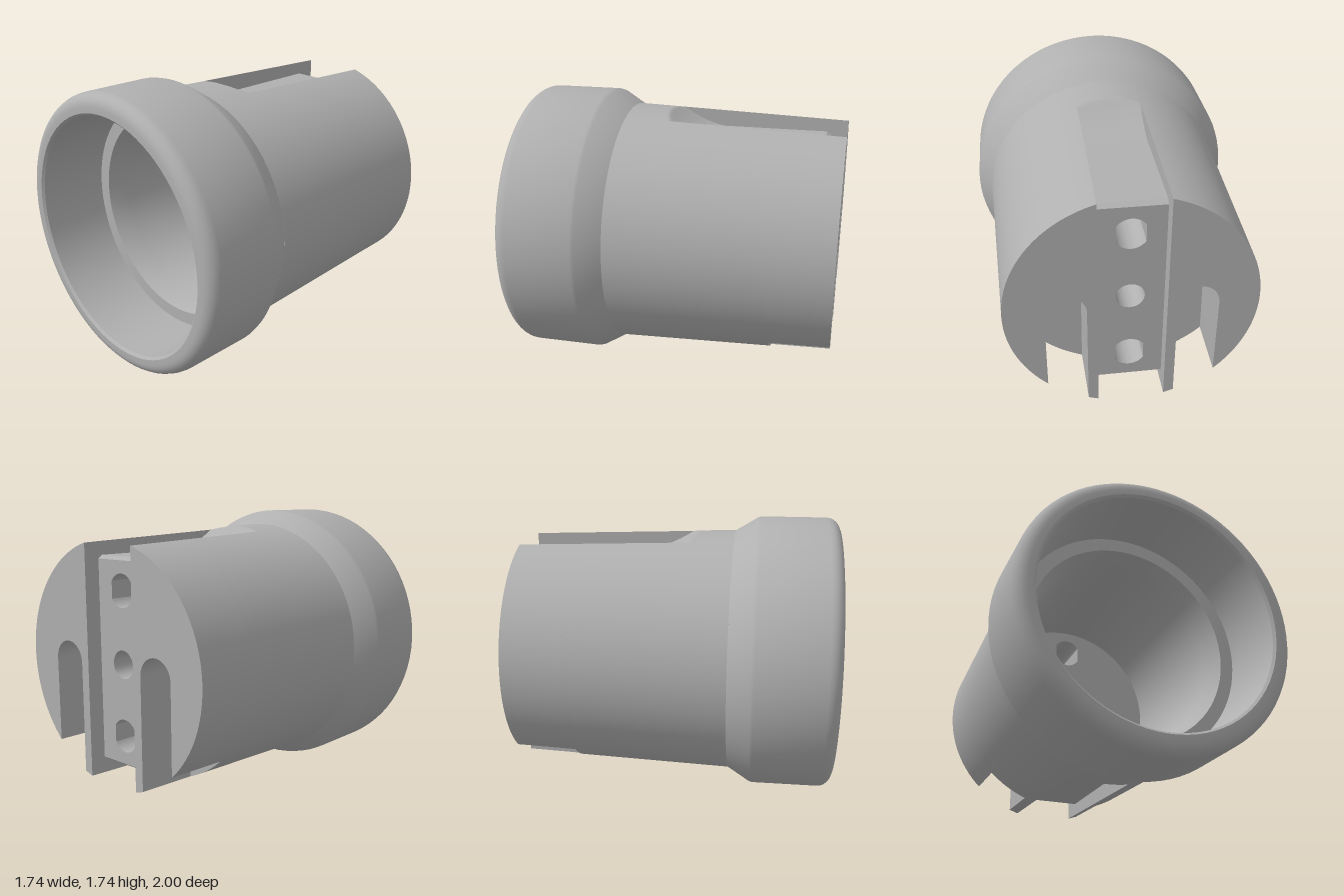
import * as THREE from 'three';
import { toCreasedNormals } from 'three/addons/utils/BufferGeometryUtils.js';
import { ParametricGeometry } from 'three/addons/geometries/ParametricGeometry.js';

const R = 0.735;           // body radius at the back end
const HALF = 0.2;          // half width of the cable channel
const BORE = 0.6, BORE_END = -0.55, SLOT_END = -0.62, NECK = 0.35;
const radiusAt = z => R + (z + 1) * 0.045 / 1.35;
const angleAt = x => Math.acos(x / R);

export function createModel() {
  const model = new THREE.Group();
  const body = new THREE.Group();
  body.name = 'socketBody';
  body.position.y = 0.87;
  model.add(body);
  const grey = new THREE.MeshStandardMaterial({ color: 0xb0b0b0, side: THREE.DoubleSide });
  grey.name = 'plainGrey';

  const add = (name, geometry, crease = 0.5) => {
    const mesh = new THREE.Mesh(toCreasedNormals(geometry, crease), grey);
    mesh.name = name;
    body.add(mesh);
    return mesh;
  };
  const extrude = (shape, z0, z1) => new THREE.ExtrudeGeometry(shape,
    { depth: z1 - z0, bevelEnabled: false, curveSegments: 40 }).translate(0, 0, z0);

  // Widen the outer wall of a side piece to follow the taper
  const taper = geometry => {
    const p = geometry.attributes.position;
    for (let i = 0; i < p.count; i++) {
      const x = p.getX(i), y = p.getY(i);
      if (Math.hypot(x, y) < 0.72) continue;
      const r = radiusAt(p.getZ(i));
      if (x < HALF + 0.001) p.setXY(i, x, Math.sign(y) * Math.sqrt(r * r - x * x));
      else p.setXY(i, x * r / R, y * r / R);
    }
    return geometry;
  };
  const addPair = (name, shape, z0, z1) => {
    const geometry = taper(extrude(shape, z0, z1));
    add(name + 'Left', geometry);
    add(name + 'Right', geometry).scale.x = -1;
  };

  // Side blocks at the back, each with an arched slot open at the bottom
  const a = angleAt(HALF);
  const slotted = new THREE.Shape();
  slotted.absarc(0, 0, R, a, -angleAt(0.5), true);
  slotted.absarc(0.38, -0.01, 0.12, 0, Math.PI, false);
  slotted.absarc(0, 0, R, -angleAt(0.26), -a, true);
  slotted.closePath();
  addPair('slottedBlock', slotted, -1, SLOT_END);

  // Solid web closing the slots and forming the bore floor
  const solid = new THREE.Shape();
  solid.absarc(0, 0, R, a, -a, true);
  solid.closePath();
  addPair('web', solid, SLOT_END, BORE_END);

  // Tapered side walls around the bore
  const wall = new THREE.Shape();
  const b = Math.acos(HALF / 0.61);
  wall.absarc(0, 0, R, a, -a, true);
  wall.absarc(0, 0, 0.61, -b, b, false);
  wall.closePath();
  addPair('sideWall', wall, BORE_END, NECK);

  // Centre bar: two flat-sided through holes and a blind middle hole
  const flatHole = y => {
    const path = new THREE.Path(), t = Math.acos(0.085 / 0.1);
    path.absarc(0, y, 0.1, t, Math.PI - t, false);
    path.absarc(0, y, 0.1, Math.PI + t, -t, false);
    path.closePath();
    return path;
  };
  const bar = middle => {
    const s = new THREE.Shape([[-HALF, -0.61], [HALF, -0.61], [HALF, 0.61], [-HALF, 0.61]]
      .map(([x, y]) => new THREE.Vector2(x, y)));
    s.holes.push(flatHole(0.435), flatHole(-0.435));
    if (middle) s.holes.push(new THREE.Path().absarc(0, 0, 0.085, 0, Math.PI * 2, false));
    return s;
  };
  add('centreBarBack', extrude(bar(true), -0.9, -0.66));
  add('centreBarFront', extrude(bar(false), -0.66, BORE_END));

  // Channel floors, curving up at the front into the round surface
  const floorAt = z => {
    if (z < -0.87) return 0.63 - (-0.87 - z) * 0.67;
    const t = Math.max(0, (z + 0.22) / 0.33);
    return 0.63 + 0.145 * Math.pow(t, 1.6);
  };
  const channel = new ParametricGeometry((u, v, target) => {
    const x = (u * 2 - 1) * HALF;
    const z = NECK + (-0.9 - NECK) * v;
    target.set(x, Math.min(floorAt(z), Math.sqrt(radiusAt(z) ** 2 - x * x)), z);
  }, 14, 125);
  add('channelFloorTop', channel);
  add('channelFloorBottom', channel).rotation.z = Math.PI;

  // Collar, rounded rim, stepped mouth and bore turned in one profile
  const profile = [[0.78, NECK], [0.865, 0.49], [0.87, 0.51]];
  for (let i = 0; i <= 6; i++) {
    const t = i / 6 * Math.PI / 2;
    profile.push([0.79 + 0.08 * Math.cos(t), 0.92 + 0.08 * Math.sin(t)]);
  }
  profile.push([0.755, 1], [0.74, 0.985], [0.73, 0.55], [0.645, 0.55],
    [BORE, 0.42], [BORE, BORE_END]);
  const collar = new THREE.LatheGeometry(profile.map(([r, z]) => new THREE.Vector2(r, z)), 80);
  add('collarAndBore', collar.rotateX(Math.PI / 2));

  return model;
}
